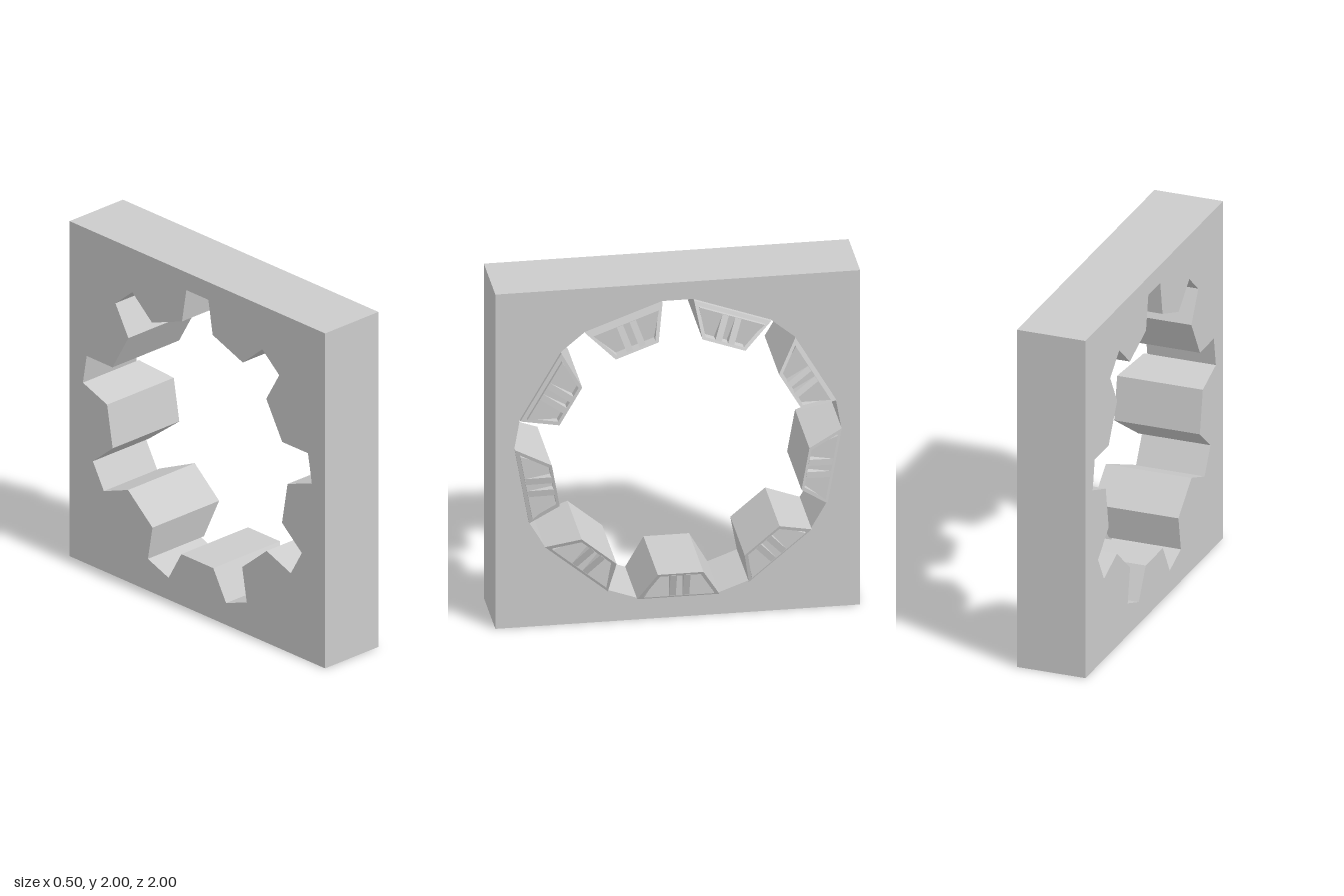
import * as THREE from 'three';

const TEETH = 9;
const STEP = (Math.PI * 2) / TEETH;
const RADIUS = 0.87;            // distance from centre to a tooth's root
const DEPTH = 0.175;            // how far a tooth reaches inwards
const ROOT = 0.225, TIP = 0.125; // half widths of a tooth
const PLATE = 0.4;

const material = new THREE.MeshStandardMaterial({ color: 0xcccccc, flatShading: true });
const toShape = (points) => new THREE.Shape(points.map(([x, y]) => new THREE.Vector2(x, y)));
const extrude = (shape, depth) => new THREE.ExtrudeGeometry(shape, { depth, bevelEnabled: false });

function part(name, geometry) {
  const mesh = new THREE.Mesh(geometry, material);
  mesh.name = name;
  return mesh;
}

// Trapezoid between two depths into the tooth, narrowed at its sides
function trapezoid(v0, v1, inset) {
  const half = (v) => ROOT + (TIP - ROOT) * (v / DEPTH) - inset;
  return [[-half(v0), v0], [half(v0), v0], [half(v1), v1], [-half(v1), v1]];
}

// Square plate with a toothed opening
function plateGeometry() {
  const shape = toShape([[-1, -1], [1, -1], [1, 1], [-1, 1]]);
  const outline = [];
  for (let k = 0; k < TEETH; k++) {
    const c = Math.cos(k * STEP), s = Math.sin(k * STEP);
    for (const [u, v] of [[-ROOT, 0], [-TIP, DEPTH], [TIP, DEPTH], [ROOT, 0]]) {
      const y = v - RADIUS;
      outline.push(new THREE.Vector2(u * c - y * s, u * s + y * c));
    }
  }
  shape.holes.push(new THREE.Path(outline));
  return extrude(shape, PLATE);
}

// Hollow rim whose top rises from the root to the tip of the tooth
function rimGeometry() {
  const shape = toShape(trapezoid(0, DEPTH, 0));
  shape.holes.push(toShape(trapezoid(0.02, 0.16, 0.022)));
  const geometry = extrude(shape, 1);
  const p = geometry.attributes.position;
  for (let i = 0; i < p.count; i++) {
    if (p.getZ(i) > 0.5) p.setZ(i, 0.02 + 0.08 * (p.getY(i) / DEPTH));
  }
  geometry.computeVertexNormals();
  return geometry;
}

// Triangular fin standing on the panel, highest at the tip of the tooth
function finGeometry(width) {
  const geometry = extrude(toShape([[0.022, 0.05], [0.162, 0.05], [0.162, 0.098]]), width);
  // profile x -> tooth depth (y), profile y -> height (z), thickness -> x
  geometry.applyMatrix4(new THREE.Matrix4().set(
    0, 0, 1, -width / 2,
    1, 0, 0, 0,
    0, 1, 0, 0,
    0, 0, 0, 1));
  return geometry;
}

export function createModel() {
  const ring = new THREE.Group();
  ring.name = 'toothedFrame';

  const plate = part('plate', plateGeometry());
  plate.position.z = -0.25;
  ring.add(plate);

  const rim = rimGeometry();
  const panel = extrude(toShape(trapezoid(0.02, 0.16, 0.022)), 0.05);
  const fin = finGeometry(0.036);

  // Raised cap on each tooth
  for (let k = 0; k < TEETH; k++) {
    const cap = new THREE.Group();
    cap.name = 'toothCap';
    cap.add(part('capRim', rim), part('capPanel', panel));
    for (const side of [-1, 1]) {
      const mesh = part('capFin', fin);
      mesh.position.x = side * 0.037;
      cap.add(mesh);
    }
    const a = k * STEP;
    cap.position.set(RADIUS * Math.sin(a), -RADIUS * Math.cos(a), 0.15);
    cap.rotation.z = a;
    ring.add(cap);
  }

  // Caps face +x
  ring.rotation.y = Math.PI / 2;
  ring.position.y = 1;

  const model = new THREE.Group();
  model.name = 'model';
  model.add(ring);
  return model;
}
